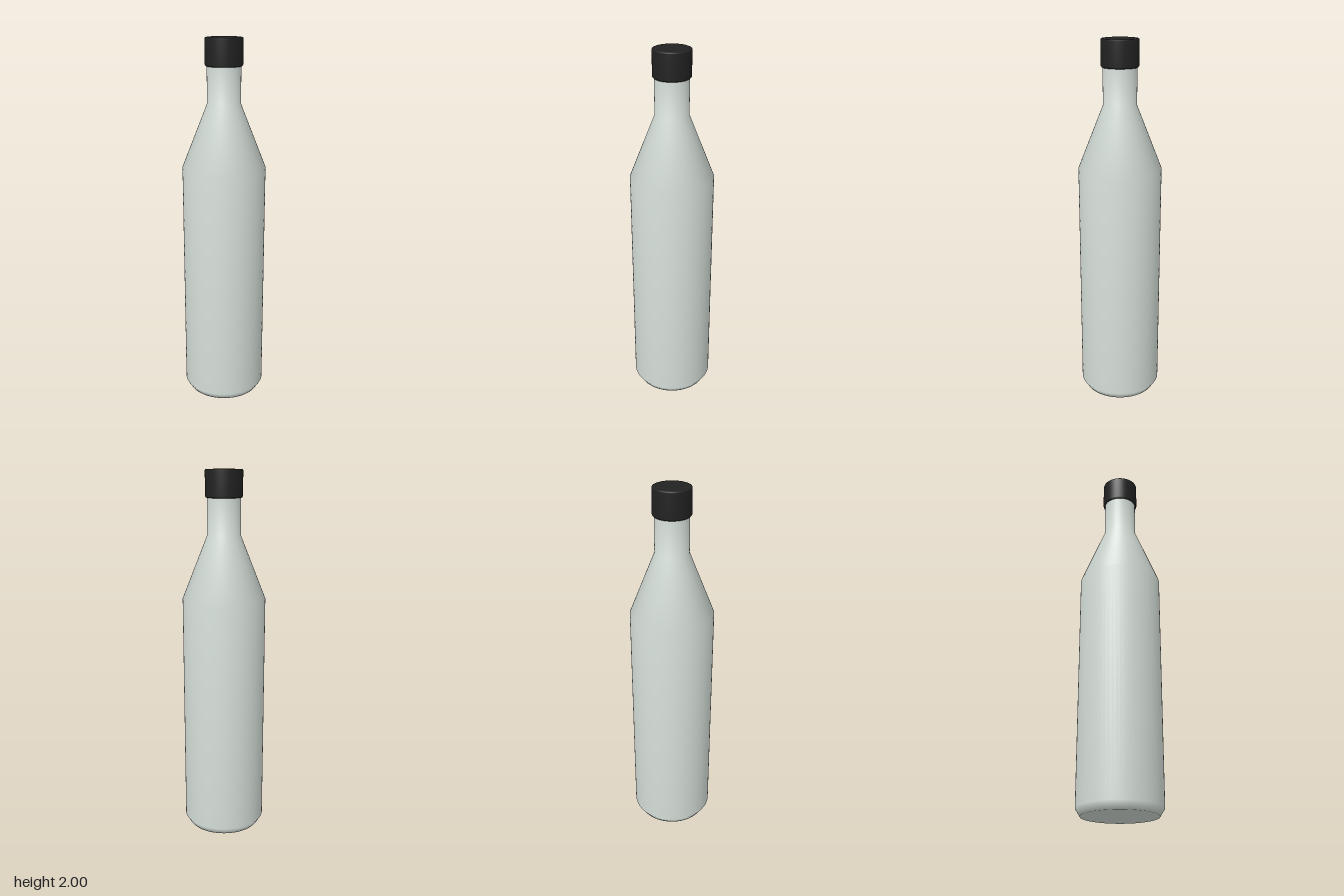
import * as THREE from 'three';

const SEGMENTS = 64;

// Revolve a [radius, height] profile listed from bottom to top
function turned(name, profile, material) {
  const points = profile.map(([r, y]) => new THREE.Vector2(r, y));
  const mesh = new THREE.Mesh(new THREE.LatheGeometry(points, SEGMENTS), material);
  mesh.name = name;
  return mesh;
}

export function createModel() {
  const glass = new THREE.MeshStandardMaterial({ color: 0xd5ded8 });
  glass.name = 'pale glass';
  const black = new THREE.MeshStandardMaterial({ color: 0x222222 });
  black.name = 'black cap';

  const bottle = new THREE.Group();
  bottle.name = 'bottle';

  // Base with chamfered foot, straight body, conical shoulder and neck
  bottle.add(turned('body', [
    [0, 0], [0.2, 0], [0.225, 0.04], [0.225, 1.32],
    [0.09, 1.66], [0.09, 1.88],
  ], glass));

  // Screw cap with slightly softened rims, closed underneath
  bottle.add(turned('cap', [
    [0, 1.855], [0.094, 1.855], [0.1, 1.862], [0.1, 1.993],
    [0.098, 1.998], [0.093, 2], [0, 2],
  ], black));

  return bottle;
}
